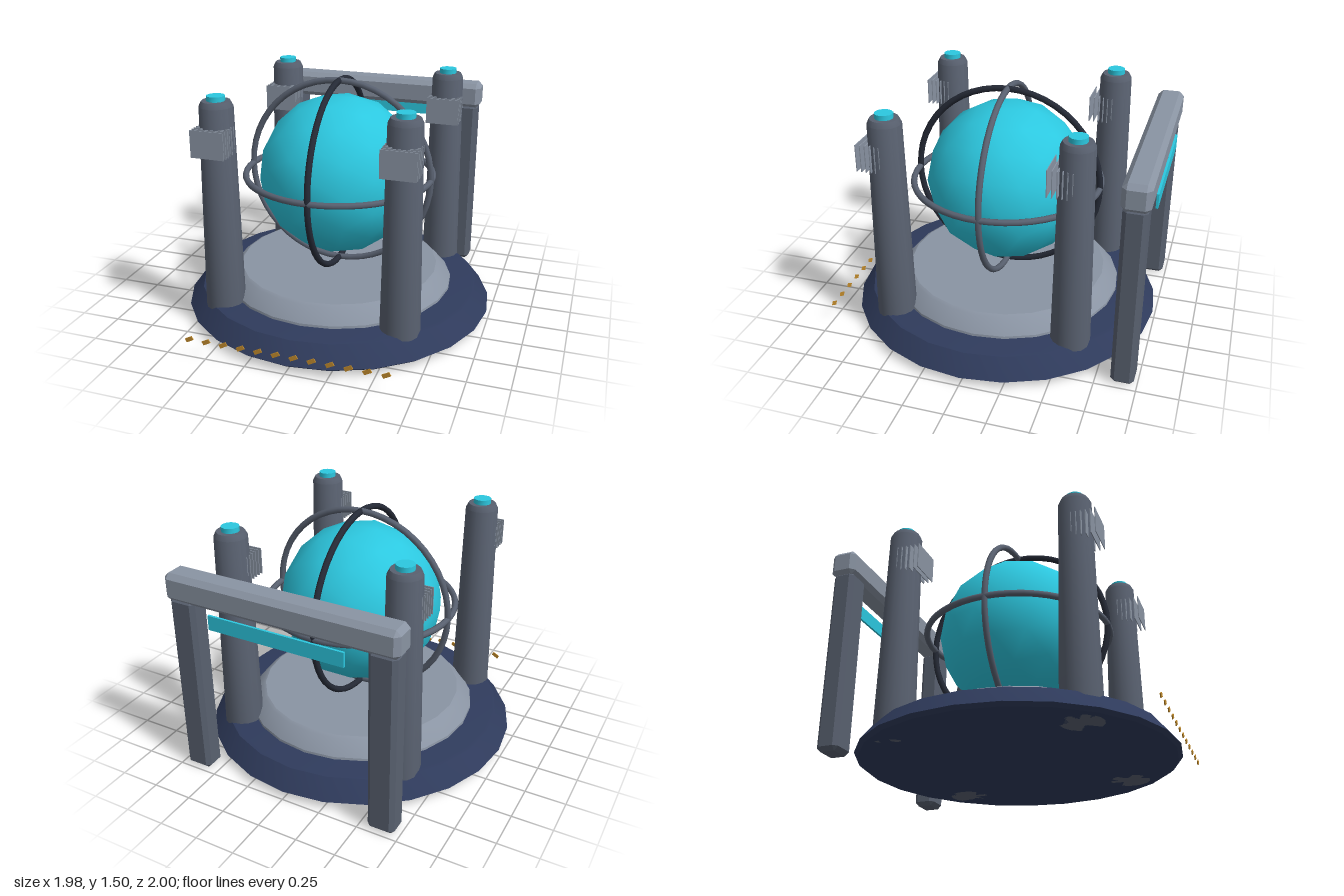
import * as THREE from 'three';
import { toCreasedNormals } from 'three/addons/utils/BufferGeometryUtils.js';
import { ConvexGeometry } from 'three/addons/geometries/ConvexGeometry.js';

const mat = (color, side = THREE.FrontSide) => new THREE.MeshStandardMaterial({ color, side });
const NAVY = mat(0x2f3b5c), PALE = mat(0x8a94a3), STEEL = mat(0x596170);
const DARK = mat(0x252a36), CYAN = mat(0x2cc8e0), AMBER = mat(0xc08a2c);

function add(parent, name, geometry, material, x = 0, y = 0, z = 0) {
  const mesh = new THREE.Mesh(geometry, material);
  mesh.name = name;
  mesh.position.set(x, y, z);
  parent.add(mesh);
  return mesh;
}

// Solid of revolution with crisp bevels and smooth sides
function turned(profile, segments) {
  const points = profile.map(([r, y]) => new THREE.Vector2(r, y));
  return toCreasedNormals(new THREE.LatheGeometry(points, segments), Math.PI / 7);
}

// Box with every edge chamfered by b
function chamferBox(w, h, d, b) {
  const points = [];
  for (const sx of [-1, 1]) for (const sy of [-1, 1]) for (const sz of [-1, 1]) {
    for (let axis = 0; axis < 3; axis++) {
      const inset = [b, b, b];
      inset[axis] = 0;
      points.push(new THREE.Vector3(
        sx * (w / 2 - inset[0]), sy * (h / 2 - inset[1]), sz * (d / 2 - inset[2])));
    }
  }
  return new ConvexGeometry(points);
}

export function createModel() {
  const model = new THREE.Group();
  model.name = 'energyCorePlatform';

  // Stepped round platform
  add(model, 'base', turned([[0, 0.03], [0.965, 0.03], [0.99, 0.05], [0.9, 0.165], [0.88, 0.17], [0, 0.17]], 24), NAVY);
  add(model, 'plinth', turned([[0, 0.15], [0.74, 0.15], [0.735, 0.185], [0.66, 0.27], [0.64, 0.28], [0, 0.28]], 24), PALE);

  // Glowing core and its three crossed rings
  const centre = 0.89;
  add(model, 'core', new THREE.IcosahedronGeometry(0.51, 2), CYAN, 0, centre - 0.005, 0);
  const ring = new THREE.TorusGeometry(0.595, 0.02, 8, 48);
  add(model, 'frontRing', ring, STEEL, 0, centre, 0);
  add(model, 'sideRing', ring, DARK, 0, centre, 0).rotation.y = Math.PI / 2;
  add(model, 'levelRing', ring, STEEL, 0, centre, 0).rotation.x = Math.PI / 2;

  // Four tapered pylons, each with a cap light and a stack of cooling fins
  const shaft = turned([[0, 0.03], [0.125, 0.03], [0.101, 1.42], [0.085, 1.452], [0, 1.452]], 16);
  const cap = toCreasedNormals(new THREE.CylinderGeometry(0.055, 0.055, 0.04, 12), Math.PI / 5);
  const fin = new THREE.BoxGeometry(0.21, 0.165, 0.005);
  for (const sx of [-1, 1]) for (const sz of [-1, 1]) {
    const pylon = new THREE.Group();
    pylon.name = (sz > 0 ? 'front' : 'back') + (sx > 0 ? 'Left' : 'Right') + 'Pylon';
    pylon.position.set(sx * 0.563, 0, sz * 0.563);
    add(pylon, 'shaft', shaft, STEEL);
    add(pylon, 'capLight', cap, CYAN, 0, 1.462, 0);
    for (let i = 0; i < 6; i++) add(pylon, 'coolingFin', fin, PALE, 0, 1.223, i * 0.029);
    model.add(pylon);
  }

  // Rear gantry: two posts, a beam and a light strip
  const gantry = new THREE.Group();
  gantry.name = 'gantry';
  const post = chamferBox(0.17, 1.17, 0.14, 0.025);
  for (const s of [-1, 1]) add(gantry, s > 0 ? 'leftPost' : 'rightPost', post, STEEL, s * 0.635, 0.585, -0.91);
  add(gantry, 'beam', chamferBox(1.474, 0.17, 0.165, 0.03), PALE, 0, 1.232, -0.912);
  add(gantry, 'lightStrip', new THREE.BoxGeometry(0.86, 0.09, 0.014), CYAN, 0, 1.085, -0.993);
  model.add(gantry);

  // Row of slanted warning marks along the front
  const mark = new THREE.BoxGeometry(0.05, 0.025, 0.006);
  for (let i = 0; i < 12; i++) {
    add(model, 'warningMark', mark, AMBER, (i - 5.5) * 0.109, 0.115, 0.997).rotation.z = 0.5;
  }

  return model;
}
